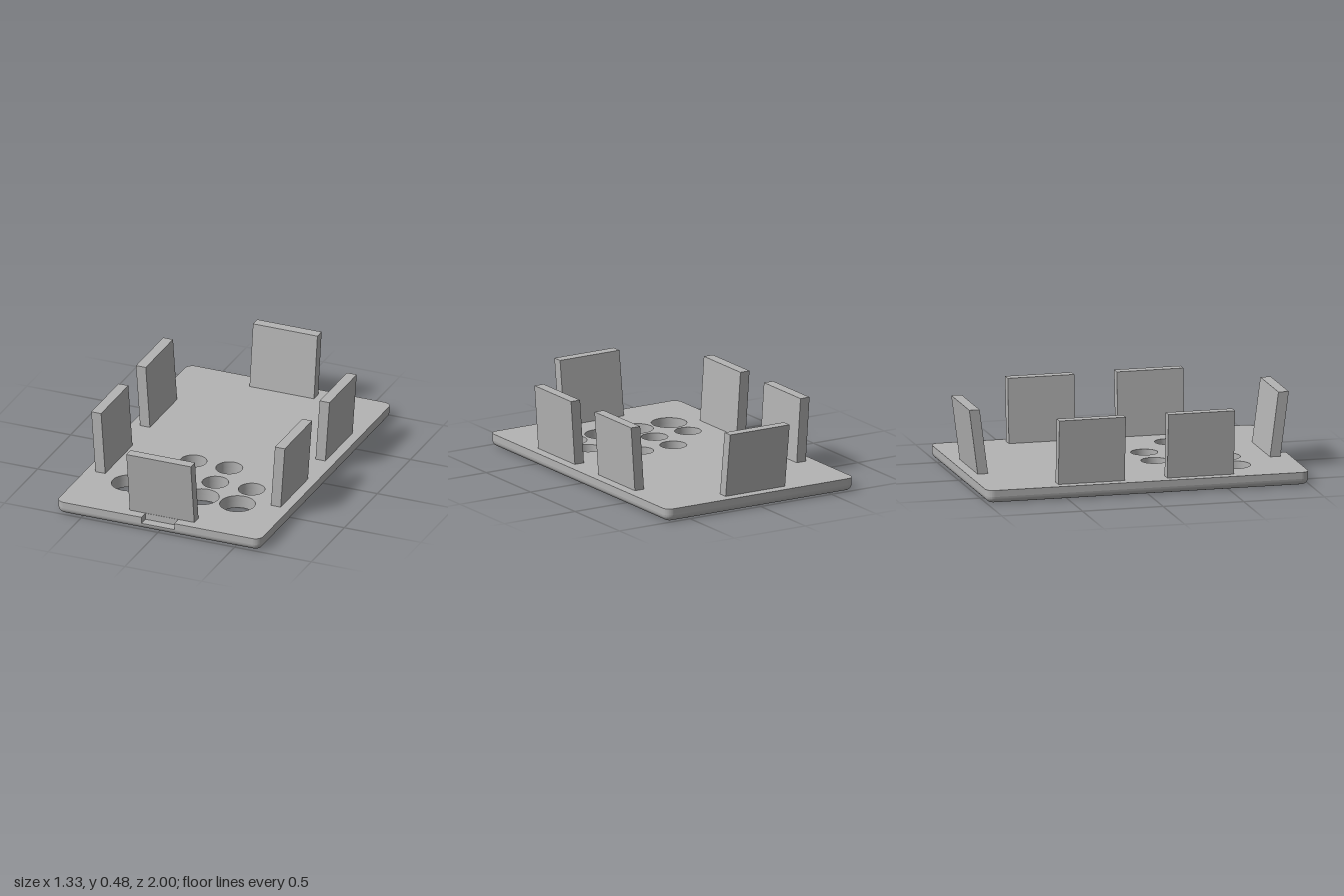
import * as THREE from 'three';
import { toCreasedNormals } from 'three/addons/utils/BufferGeometryUtils.js';

const W = 0.665, L = 1, R = 0.05;       // plate half width, half length, corner radius
const TOP = 0.08, STEP = 0.04;          // plate top and height of the notch floor

// Hole rows: [z, radius, x positions]
const HOLE_ROWS = [
  [0.18, 0.081, [-0.122, 0.112]],
  [0.39, 0.08, [-0.358, -0.122, 0.112, 0.348]],
  [0.603, 0.107, [-0.358, -0.122, 0.112, 0.348]],
];

// Plate outline in x and z, with holes and an optional notch in the front edge
function plateShape(notched) {
  const s = new THREE.Shape();
  s.moveTo(-W + R, -L);
  s.lineTo(W - R, -L);
  s.absarc(W - R, -L + R, R, -Math.PI / 2, 0);
  s.lineTo(W, L - R);
  s.absarc(W - R, L - R, R, 0, Math.PI / 2);
  if (notched) {
    s.lineTo(0.107, L);
    s.lineTo(0.107, 0.94);
    s.lineTo(-0.107, 0.94);
    s.lineTo(-0.107, L);
  }
  s.lineTo(-W + R, L);
  s.absarc(-W + R, L - R, R, Math.PI / 2, Math.PI);
  s.lineTo(-W, -L + R);
  s.absarc(-W + R, -L + R, R, Math.PI, Math.PI * 1.5);
  for (const [z, r, xs] of HOLE_ROWS) {
    for (const x of xs) {
      s.holes.push(new THREE.Path().absarc(x, z, r, 0, Math.PI * 2, true));
    }
  }
  return s;
}

// Layer of the plate, extruded downward from the given top height
function plateLayer(shape, top, depth, steps) {
  const g = new THREE.ExtrudeGeometry(shape, { depth, steps, bevelEnabled: false, curveSegments: 24 });
  return g.rotateX(Math.PI / 2).translate(0, top, 0);
}

// Round the lower outer edge; hole walls lie inside the core and only shift in height
function roundLowerEdge(g) {
  const p = g.attributes.position;
  const cx = W - R, cz = L - R;
  for (let i = 0; i < p.count; i++) {
    const x = p.getX(i), z = p.getZ(i);
    const a = THREE.MathUtils.clamp(p.getY(i) / STEP, 0, 1) * Math.PI / 2;
    const kx = THREE.MathUtils.clamp(x, -cx, cx), kz = THREE.MathUtils.clamp(z, -cz, cz);
    const k = 1 - STEP * (1 - Math.sin(a)) / R;
    p.setXYZ(i, kx + (x - kx) * k, STEP * (1 - Math.cos(a)), kz + (z - kz) * k);
  }
  return g;
}

// Upright tab leaning toward +z, standing with its inner face at the given z
function tabGeometry(width, inner, thick, lean) {
  const h = 0.395;
  const g = new THREE.BoxGeometry(width, h, thick).translate(0, h / 2, inner + thick / 2);
  const p = g.attributes.position;
  for (let i = 0; i < p.count; i++) p.setZ(i, p.getZ(i) + lean * p.getY(i) / h);
  g.translate(0, TOP, 0);
  g.computeVertexNormals();
  return g;
}

export function createModel() {
  const model = new THREE.Group();
  model.name = 'ventedTray';
  const grey = new THREE.MeshStandardMaterial({ color: 0xb3b3b3 });
  grey.name = 'grey';

  const add = (name, geometry) => {
    const mesh = new THREE.Mesh(geometry, grey);
    mesh.name = name;
    model.add(mesh);
    return mesh;
  };

  // Base plate in two layers
  add('plateUpper', toCreasedNormals(plateLayer(plateShape(true), TOP, TOP - STEP, 1), 0.6));
  add('plateLower', toCreasedNormals(roundLowerEdge(plateLayer(plateShape(false), STEP, STEP, 8)), 0.6));

  // End tabs
  const endTab = tabGeometry(0.42, 0.874, 0.064, 0.052);
  add('frontTab', endTab);
  add('backTab', endTab).rotation.y = Math.PI;

  // Two tabs along each side
  const sideTab = tabGeometry(0.412, 0.54, 0.064, 0.027);
  for (const side of [1, -1]) {
    for (const end of [1, -1]) {
      const tab = add((side > 0 ? 'left' : 'right') + (end > 0 ? 'Front' : 'Back') + 'Tab', sideTab);
      tab.rotation.y = side * Math.PI / 2;
      tab.position.z = end * 0.338;
    }
  }
  return model;
}
